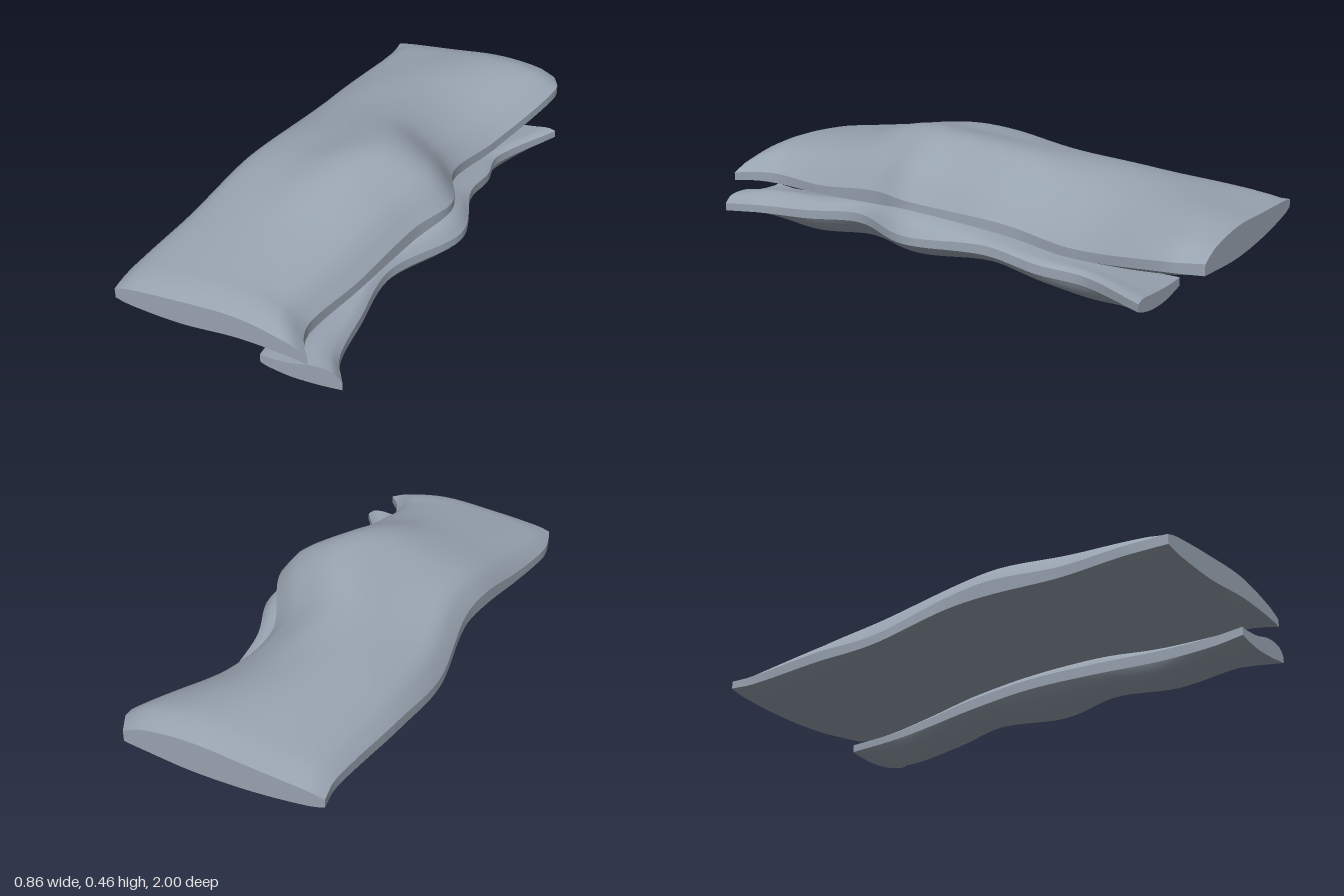
import * as THREE from 'three';
import { mergeGeometries } from 'three/addons/utils/BufferGeometryUtils.js';

// Positions across the width at which each section's heights are given
const ACROSS = [0, 0.07, 0.35, 0.65, 0.9, 1];

// Each section: z, left x, right x, six top heights, six underside heights
const UPPER = [
  [-1, -0.39, 0.34, 0.27, 0.28, 0.30, 0.32, 0.305, 0.275, 0.24, 0.225, 0.205, 0.205, 0.225, 0.235],
  [-0.9, -0.375, 0.385, 0.27, 0.305, 0.33, 0.35, 0.32, 0.275, 0.235, 0.21, 0.18, 0.18, 0.205, 0.24],
  [-0.5, -0.41, 0.29, 0.245, 0.30, 0.36, 0.34, 0.26, 0.20, 0.205, 0.185, 0.15, 0.112, 0.14, 0.165],
  [-0.2, -0.422, 0.255, 0.22, 0.30, 0.37, 0.385, 0.29, 0.215, 0.185, 0.175, 0.16, 0.165, 0.17, 0.175],
  [0.1, -0.385, 0.385, 0.285, 0.36, 0.408, 0.455, 0.37, 0.275, 0.24, 0.23, 0.22, 0.22, 0.225, 0.245],
  [0.3, -0.39, 0.335, 0.285, 0.355, 0.405, 0.445, 0.355, 0.265, 0.23, 0.22, 0.215, 0.21, 0.21, 0.215],
  [0.6, -0.41, 0.285, 0.225, 0.29, 0.34, 0.348, 0.295, 0.215, 0.185, 0.175, 0.165, 0.17, 0.175, 0.18],
  [0.85, -0.43, 0.25, 0.20, 0.245, 0.288, 0.302, 0.268, 0.205, 0.165, 0.15, 0.14, 0.148, 0.16, 0.165],
  [0.94, -0.418, 0.28, 0.20, 0.235, 0.272, 0.288, 0.262, 0.205, 0.165, 0.15, 0.146, 0.158, 0.168, 0.17],
  [1, -0.40, 0.33, 0.205, 0.22, 0.245, 0.26, 0.232, 0.205, 0.17, 0.16, 0.158, 0.182, 0.182, 0.175],
];
const LOWER = [
  [-0.82, 0.12, 0.425, 0.11, 0.11, 0.115, 0.125, 0.135, 0.128, 0.08, 0.075, 0.065, 0.07, 0.088, 0.10],
  [-0.55, 0.085, 0.29, 0.09, 0.10, 0.11, 0.115, 0.12, 0.11, 0.06, 0.04, 0.015, 0.002, 0.04, 0.075],
  [-0.38, 0.085, 0.32, 0.105, 0.12, 0.132, 0.135, 0.135, 0.125, 0.07, 0.052, 0.03, 0.03, 0.06, 0.09],
  [-0.18, 0.09, 0.335, 0.13, 0.15, 0.165, 0.17, 0.165, 0.155, 0.09, 0.08, 0.062, 0.068, 0.095, 0.12],
  [0.1, 0.09, 0.425, 0.14, 0.165, 0.20, 0.228, 0.203, 0.16, 0.10, 0.075, 0.04, 0.055, 0.10, 0.13],
  [0.4, 0.09, 0.30, 0.12, 0.145, 0.17, 0.182, 0.17, 0.145, 0.08, 0.06, 0.035, 0.038, 0.085, 0.11],
  [0.65, 0.10, 0.32, 0.10, 0.115, 0.135, 0.15, 0.137, 0.115, 0.06, 0.035, 0.012, 0.012, 0.055, 0.082],
  [0.85, 0.11, 0.355, 0.095, 0.105, 0.12, 0.145, 0.13, 0.105, 0.06, 0.05, 0.037, 0.04, 0.065, 0.075],
  [0.96, 0.13, 0.428, 0.11, 0.108, 0.117, 0.14, 0.138, 0.115, 0.08, 0.073, 0.065, 0.07, 0.08, 0.085],
];

// Smooth curve through unevenly spaced knots
function spline(ts, vs, t) {
  const last = ts.length - 1;
  let k = 0;
  while (k < last - 1 && t > ts[k + 1]) k++;
  const slope = (i) => {
    const a = Math.max(i - 1, 0), b = Math.min(i + 1, last);
    return (vs[b] - vs[a]) / (ts[b] - ts[a]);
  };
  const h = ts[k + 1] - ts[k], s = (t - ts[k]) / h;
  const s2 = s * s, s3 = s2 * s;
  return (2 * s3 - 3 * s2 + 1) * vs[k] + (s3 - 2 * s2 + s) * h * slope(k)
    + (3 * s2 - 2 * s3) * vs[k + 1] + (s3 - s2) * h * slope(k + 1);
}

// Smooth sheet of rows x columns; flip turns its face around
function sheet(rows, cols, point, flip) {
  const position = [], index = [];
  for (let i = 0; i <= rows; i++)
    for (let j = 0; j <= cols; j++) position.push(...point(i / rows, j / cols));
  for (let i = 0; i < rows; i++)
    for (let j = 0; j < cols; j++) {
      const a = i * (cols + 1) + j, b = a + cols + 1, c = a + 1, d = b + 1;
      if (flip) index.push(a, c, b, b, c, d);
      else index.push(a, b, c, b, d, c);
    }
  const geometry = new THREE.BufferGeometry();
  geometry.setAttribute('position', new THREE.Float32BufferAttribute(position, 3));
  geometry.setIndex(index);
  geometry.computeVertexNormals();
  return geometry;
}

// Closed wavy slab lofted along z, with crisp rims and flat ends
function wavySlab(name, sections, material) {
  const columns = sections[0].map((_, k) => sections.map((s) => s[k]));
  const zs = columns[0];
  const length = zs[zs.length - 1] - zs[0];

  // v runs along the length, u across, h from underside (0) to top (1)
  const at = (v, u, h) => {
    const z = zs[0] + v * length;
    const value = (k) => spline(zs, columns[k], z);
    const height = (first) => spline(ACROSS, ACROSS.map((_, k) => value(first + k)), u);
    const y = THREE.MathUtils.lerp(height(9), height(3), h);
    return [THREE.MathUtils.lerp(value(1), value(2), u), y, z];
  };

  const N = 56, M = 24;
  const geometry = mergeGeometries([
    sheet(N, M, (v, u) => at(v, u, 1), false),  // top
    sheet(N, M, (v, u) => at(v, u, 0), true),   // underside
    sheet(N, 1, (v, h) => at(v, 0, h), false),  // -x rim
    sheet(N, 1, (v, h) => at(v, 1, h), true),   // +x rim
    sheet(M, 1, (u, h) => at(1, u, h), false),  // front end
    sheet(M, 1, (u, h) => at(0, u, h), true),   // back end
  ]);
  const mesh = new THREE.Mesh(geometry, material);
  mesh.name = name;
  return mesh;
}

export function createModel() {
  const model = new THREE.Group();
  model.name = 'layeredWavySlabs';
  const material = new THREE.MeshStandardMaterial({ color: 0x98a3b0 });
  model.add(wavySlab('upperSlab', UPPER, material));
  model.add(wavySlab('lowerSlab', LOWER, material));
  return model;
}
